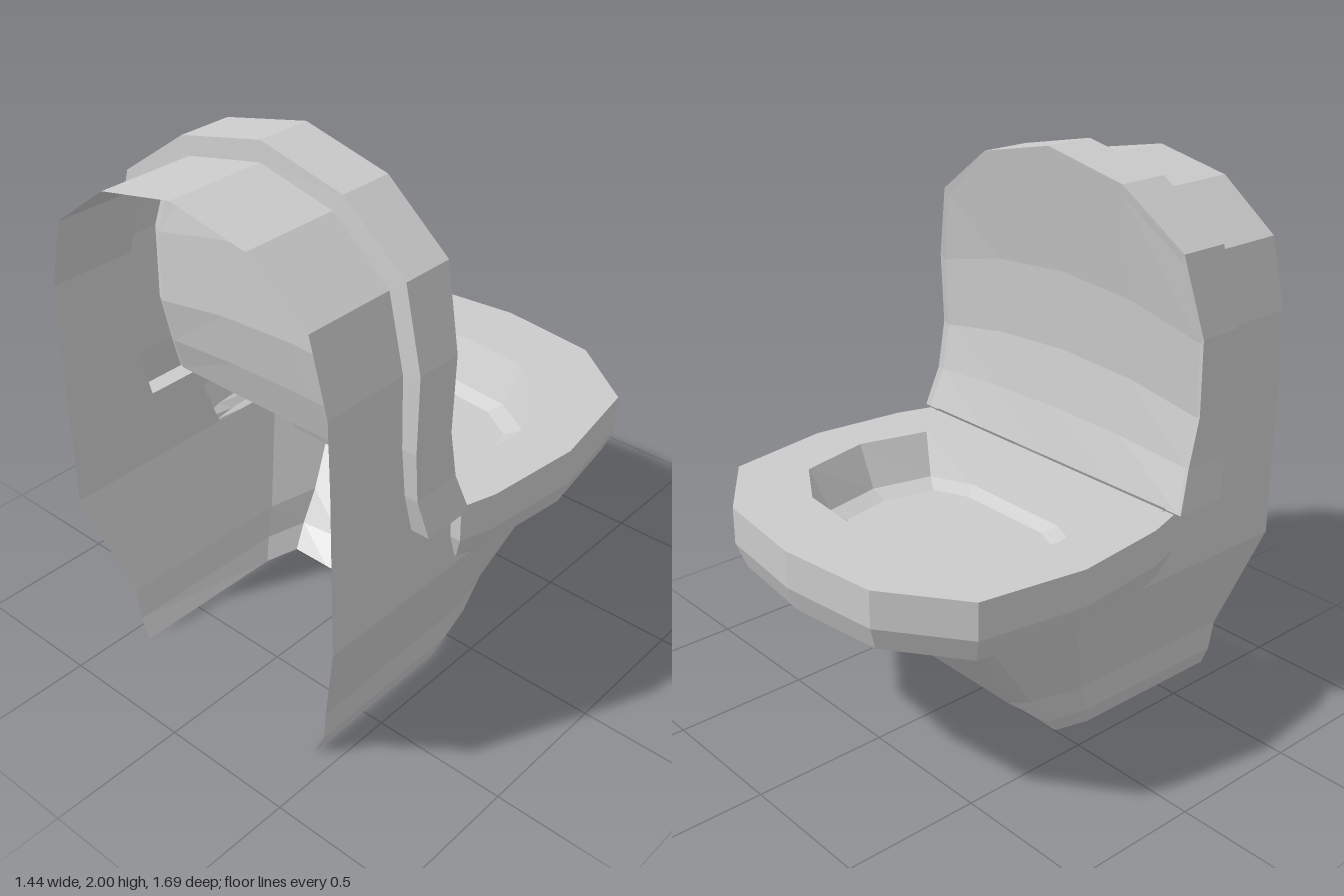
import * as THREE from 'three';

const material = new THREE.MeshStandardMaterial({
  color: 0xcccccc, flatShading: true, side: THREE.DoubleSide,
});

// Faceted surface through rows of points
function loft(name, rows, flip = false) {
  const out = [];
  for (let i = 0; i < rows.length - 1; i++) {
    for (let j = 0; j < rows[i].length - 1; j++) {
      const a = rows[i][j], b = rows[i][j + 1], c = rows[i + 1][j + 1], d = rows[i + 1][j];
      const tris = flip ? [a, c, b, a, d, c] : [a, b, c, a, c, d];
      tris.forEach((p) => out.push(...p));
    }
  }
  const geometry = new THREE.BufferGeometry();
  geometry.setAttribute('position', new THREE.Float32BufferAttribute(out, 3));
  geometry.computeVertexNormals();
  const mesh = new THREE.Mesh(geometry, material);
  mesh.name = name;
  return mesh;
}

// Half outline [x, z] from the centre front to the back, mirrored at a height y
const mirrored = (half, y) => [
  ...half.filter(([x]) => x > 0).reverse().map(([x, z]) => [-x, y, z]),
  ...half.map(([x, z]) => [x, y, z]),
];
const closed = (points) => [...points, points[0]];
const scaled = (half, s, cz) => half.map(([x, z]) => [x * s, cz + (z - cz) * s]);

// Seam where the arched shell meets the lid, from the right foot over the top
const seamHalf = [
  [0.6, 0.87, 0.48], [0.6, 1.02, 0.515], [0.6, 1.2, 0.53], [0.595, 1.45, 0.525],
  [0.53, 1.7, 0.512], [0.3, 1.87, 0.495], [0, 1.93, 0.485],
];
const seam = [
  ...seamHalf,
  ...seamHalf.slice(0, -1).reverse().map(([x, y, z]) => [-x, y, z]),
];

function buildBody() {
  const body = new THREE.Group();
  body.name = 'body';

  // Pedestal, open at the back
  const sections = [
    [0.6, [[0.26, -0.53], [0.53, -0.455], [0.6, -0.13], [0.6, 0.845]]],
    [0.2, [[0.24, -0.19], [0.415, -0.15], [0.46, 0.05], [0.47, 0.745]]],
    [0.08, [[0.23, -0.09], [0.405, -0.07], [0.445, 0.09], [0.455, 0.74]]],
    [0, [[0.22, 0], [0.38, 0], [0.415, 0.13], [0.42, 0.745]]],
  ];
  body.add(loft('pedestal', sections.map(([y, half]) => mirrored(half, y))));

  // Side walls between the pedestal and the lid
  for (const s of [-1, 1]) {
    body.add(loft('sideWall', [
      [[s * 0.6, 0.87, 0.845], [s * 0.6, 0.87, 0.27]],
      [[s * 0.6, 0.6, 0.845], [s * 0.6, 0.6, 0.17]],
    ], s > 0));
  }

  // Arched shell behind the lid
  body.add(loft('archShell', [seam, seam.map(([x, y]) => [x, y, 0.845])]));
  return body;
}

function buildSeat() {
  const seat = new THREE.Group();
  seat.name = 'seat';
  const rim = [[0, -0.845], [0.38, -0.8], [0.655, -0.6], [0.72, -0.21], [0.68, 0.15], [0.64, 0.28]];
  const hole = [[0, -0.575], [0.27, -0.55], [0.47, -0.425], [0.53, -0.15], [0.46, 0.11], [0.24, 0.2]];
  const floor = [[0, -0.505], [0.24, -0.485], [0.4, -0.39], [0.445, -0.16], [0.39, 0.07], [0.23, 0.14]];
  const lower = [[0, -0.68], [0.31, -0.66], [0.56, -0.54], [0.63, -0.2], [0.62, 0.08], [0.605, 0.18]];
  const joint = [[0, -0.53], [0.26, -0.53], [0.53, -0.455], [0.6, -0.13], [0.6, 0.05], [0.6, 0.17]];

  // Top ring running down into the basin, whose floor narrows to its middle
  seat.add(loft('ringAndBasin', [
    closed(mirrored(rim, 0.865)),
    closed(mirrored(hole, 0.865)),
    closed(mirrored(floor, 0.715)),
    closed(mirrored(scaled(floor, 0.85, -0.17), 0.69)),
    closed(mirrored(scaled(floor, 0.001, -0.17), 0.685)),
  ], true));

  // Outer wall and underside, with short returns to the side walls
  const levels = [
    [0.865, rim], [0.73, rim], [0.64, scaled(rim, 0.95, -0.2)], [0.61, lower], [0.6, joint],
  ];
  seat.add(loft('outerWall', levels.map(([y, half]) => mirrored([...half, [0.6, half[5][1]]], y))));
  return seat;
}

function buildLid() {
  const lid = new THREE.Group();
  lid.name = 'lid';

  // Rows: half width, edge height, centre height, front z, back z
  const rows = [
    [0.67, 0.87, 0.87, 0.28, 0.48],
    [0.65, 1.02, 1.05, 0.33, 0.515],
    [0.655, 1.2, 1.27, 0.365, 0.53],
    [0.66, 1.47, 1.57, 0.355, 0.525],
  ];
  const top = [[0.59, 1.745, 0.32, 0.51], [0.335, 1.928, 0.293, 0.49], [0, 2, 0.283, 0.48]];
  const face = (back, s = 1, dz = 0) => {
    const grid = rows.map(([w, edge, mid, zf, zb]) => [-1, -0.52, 0, 0.52, 1].map((t) => [
      w * t, mid + (edge - mid) * t * t, back ? zb : zf]));
    grid.push([-1, -1, 1, 1, 1].map((side, i) => {
      const [x, y, zf, zb] = top[2 - Math.abs(i - 2)];
      return [x * side, y, back ? zb : zf];
    }));
    return grid.map((row) => row.map(([x, y, z]) => [x * s, 0.87 + (y - 0.87) * s, z + dz]));
  };
  // Edge of a face from the right foot over the top, open along the bottom
  const border = (grid) => [
    ...grid.slice(0, -1).map((row) => row[4]),
    ...[...grid[4]].reverse(),
    ...grid.slice(0, -1).reverse().map((row) => row[0]),
  ];

  // Curved panel, rim and the back flange that meets the arched shell
  const panel = face(false, 0.97, 0.006);
  lid.add(loft('panel', panel, true));
  lid.add(loft('rim', [border(panel), border(face(false)), border(face(true)), seam]));

  // Small feet closing the rim on either side
  for (const s of [-1, 1]) {
    lid.add(loft('rimFoot', [0.28, 0.48].map((z) => [[s * 0.6, 0.87, z], [s * 0.67, 0.87, z]]), s < 0));
  }
  return lid;
}

export function createModel() {
  const model = new THREE.Group();
  model.name = 'toilet';
  model.add(buildBody(), buildSeat(), buildLid());
  return model;
}
